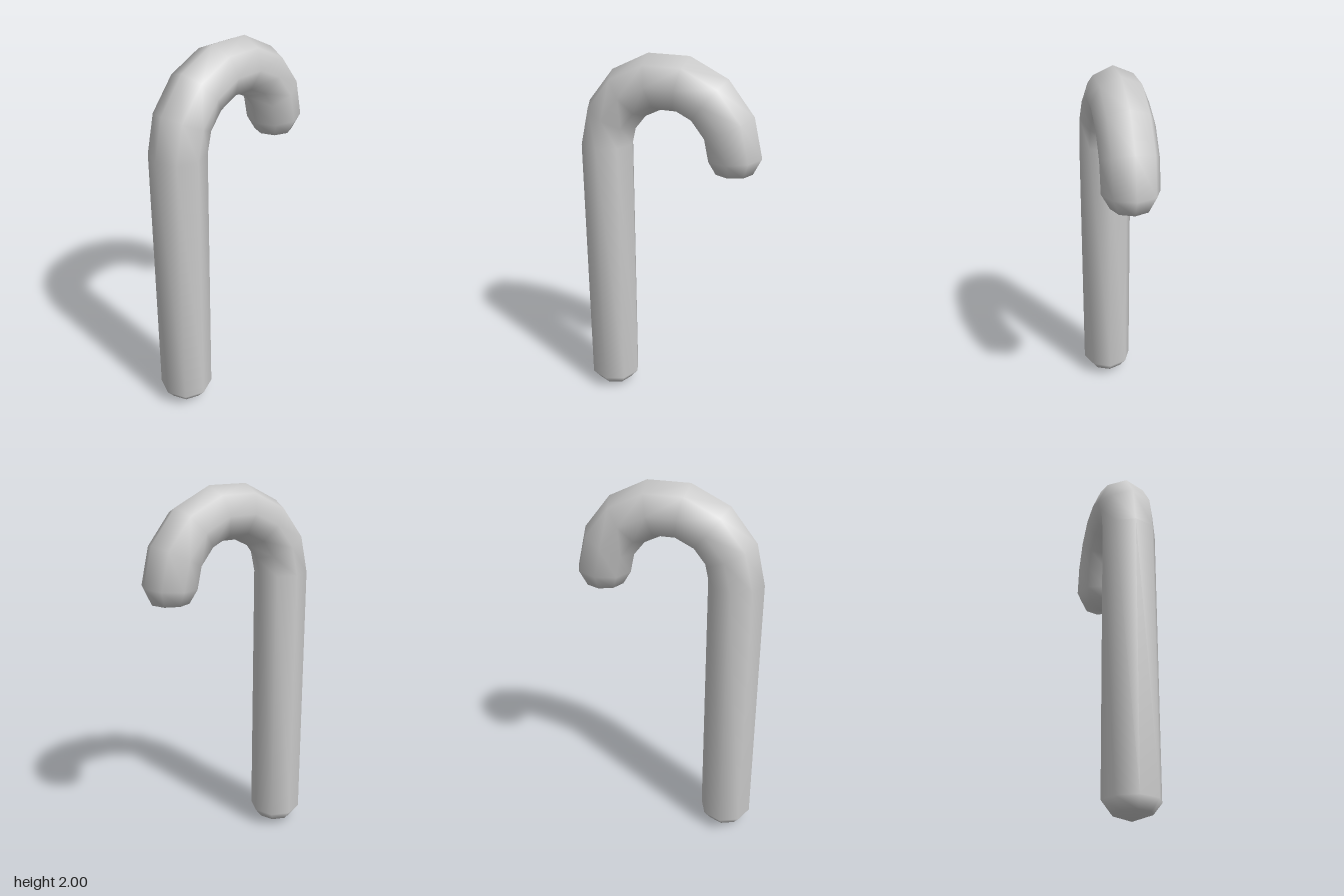
import * as THREE from 'three';
import { mergeVertices } from 'three/addons/utils/BufferGeometryUtils.js';

const SIDES = 8;
const BEND_STEPS = 7;
const BEND_R = 0.348; // radius of the hook's centre line
const TUBE_R = 0.143;
const BEND_Y = 1.521; // height at which the hook starts

// Skins a list of rings { x, y, angle, r }; angle is the ring's outward direction in the xy plane.
function skinRings(rings) {
  const positions = [];
  const index = [];
  for (const { x, y, angle, r } of rings) {
    for (let j = 0; j < SIDES; j++) {
      const t = (j / SIDES) * Math.PI * 2;
      const out = r * Math.cos(t);
      positions.push(x + out * Math.cos(angle), y + out * Math.sin(angle), r * Math.sin(t));
    }
  }
  for (let i = 0; i < rings.length - 1; i++) {
    for (let j = 0; j < SIDES; j++) {
      const k = (j + 1) % SIDES;
      const a = i * SIDES + j, b = i * SIDES + k;
      const c = a + SIDES, d = b + SIDES;
      // Skip the collapsed triangle at each pointed tip
      if (rings[i].r > 0) index.push(a, b, c);
      if (rings[i + 1].r > 0) index.push(b, d, c);
    }
  }
  const geometry = new THREE.BufferGeometry();
  geometry.setAttribute('position', new THREE.Float32BufferAttribute(positions, 3));
  geometry.setIndex(index);
  const welded = mergeVertices(geometry, 1e-5);
  welded.computeVertexNormals();
  return welded;
}

export function createModel() {
  const group = new THREE.Group();
  group.name = 'hookedCane';

  // Rounded foot
  const rings = [[0, 0], [0.035, 0.1], [0.09, TUBE_R]].map(
    ([y, r]) => ({ x: -BEND_R, y, angle: Math.PI, r }));

  // Top of the straight shaft, then the half-circle hook
  for (let i = 0; i <= BEND_STEPS; i++) {
    const a = Math.PI * (1 - i / BEND_STEPS);
    rings.push({
      x: BEND_R * Math.cos(a),
      y: BEND_Y + BEND_R * Math.sin(a),
      angle: i === BEND_STEPS ? 0.06 : a,
      r: TUBE_R,
    });
  }

  // Rounded end of the hook
  rings.push({ x: BEND_R, y: 1.443, angle: 0, r: 0.1 });
  rings.push({ x: BEND_R, y: 1.419, angle: 0, r: 0 });

  const cane = new THREE.Mesh(skinRings(rings), new THREE.MeshStandardMaterial({ color: 0xcccccc }));
  cane.name = 'cane';
  group.add(cane);
  return group;
}
